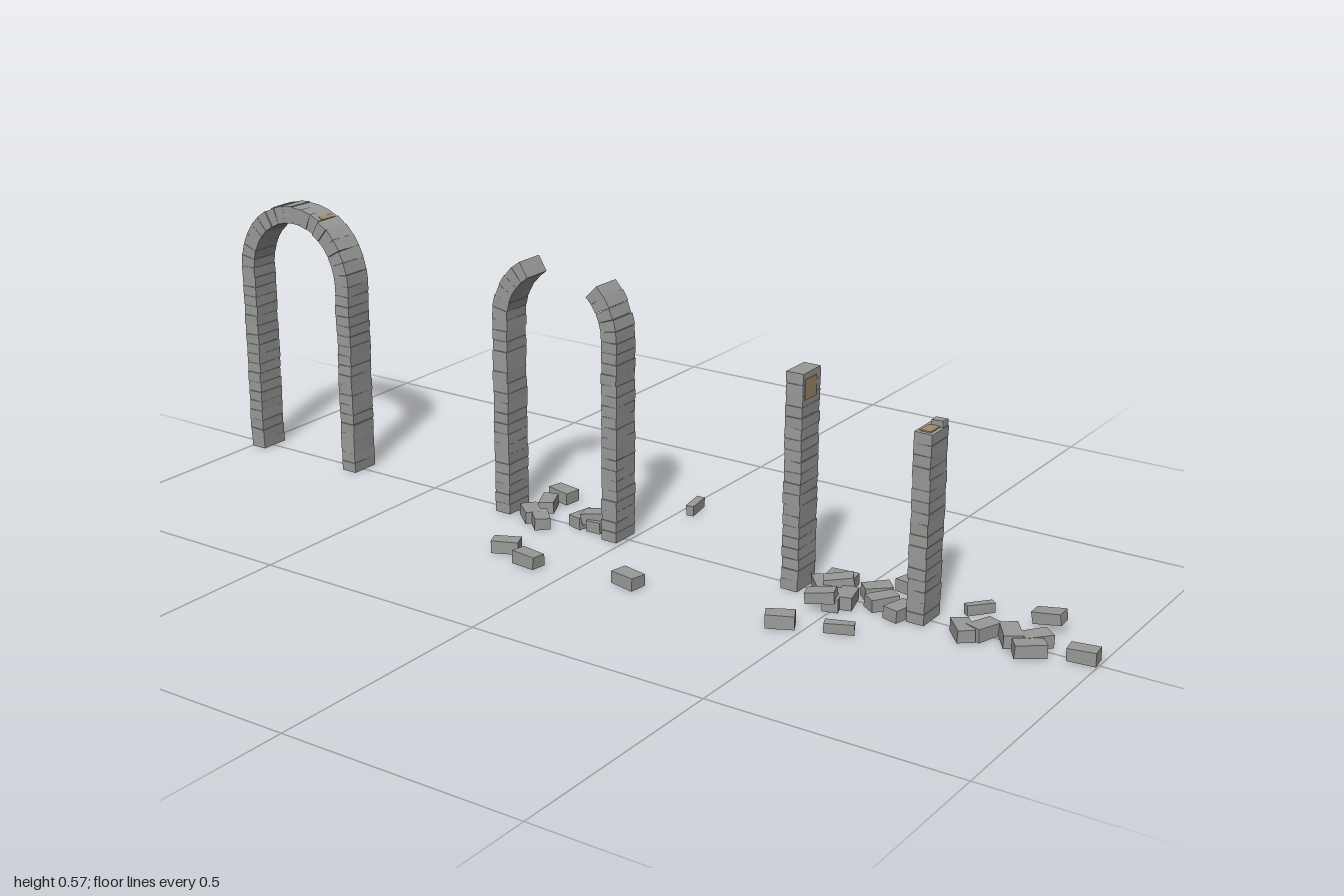
import * as THREE from 'three';
import { mergeGeometries } from 'three/addons/utils/BufferGeometryUtils.js';

const stone = new THREE.MeshStandardMaterial({ color: 0x989a98 });
stone.name = 'grey stone';
const mortar = new THREE.MeshStandardMaterial({ color: 0xa08c6c });
mortar.name = 'brown mortar';

let seed = 7;
const rand = () => ((seed = (seed * 16807) % 2147483647) / 2147483647);
const vary = (a) => (rand() * 2 - 1) * a;
const rad = THREE.MathUtils.degToRad;

const SPRING = 0.414, THICK = 0.036, DEPTH = 0.064, ZMID = -0.002, OUTER = 0.1515;
const SPAN = OUTER - THICK / 2;

// Unit box mapped by a rule, with its eight corners nudged
function block(amount, rule) {
  const g = new THREE.BoxGeometry(1, 1, 1);
  const nudge = Array.from({ length: 8 }, () => [vary(amount), vary(amount), vary(amount)]);
  const p = g.attributes.position;
  for (let i = 0; i < p.count; i++) {
    const x = p.getX(i), y = p.getY(i), z = p.getZ(i);
    const n = nudge[(x > 0 ? 1 : 0) + (y > 0 ? 2 : 0) + (z > 0 ? 4 : 0)];
    const q = rule(x, y, z);
    p.setXYZ(i, q[0] + n[0], q[1] + n[1], q[2] + n[2]);
  }
  g.computeVertexNormals();
  return g;
}

function part(name, geometries, material) {
  const mesh = new THREE.Mesh(mergeGeometries(geometries), material);
  mesh.name = name;
  return mesh;
}

function group(name, ...children) {
  const g = new THREE.Group();
  g.name = name;
  return g.add(...children);
}

const brick = (cx, cy, cz, w, h, d, amount = 0) =>
  block(amount, (x, y, z) => [cx + x * w, cy + y * h, cz + z * d]);

// Wedge between two radii and two angles in degrees
const wedge = (cx, r0, r1, a0, a1, depth, amount = 0) =>
  block(amount, (x, y, z) => {
    const a = rad(a0 + (a1 - a0) * (0.5 - x));
    const r = r0 + (r1 - r0) * (y + 0.5);
    return [cx + Math.cos(a) * r, SPRING + Math.sin(a) * r, ZMID + z * depth];
  });

// Stack of single-stone courses around a mortar core
function pillar(name, x, height) {
  const n = Math.round(height / 0.0215), h = height / n, courses = [];
  for (let i = 0; i < n; i++) {
    courses.push(brick(x + vary(0.0008), (i + 0.5) * h, ZMID + vary(0.001),
      THICK, h - 0.0006, DEPTH, i ? 0.0007 : 0));
  }
  const core = brick(x, height / 2, ZMID, THICK - 0.004, height - 0.006, DEPTH - 0.004);
  return group(name, part('courses', courses, stone), part('core', [core], mortar));
}

// Run of arch stones from one angle to another, slimmer near the crown
function archRun(name, cx, from, to) {
  const n = Math.round((to - from) / 10), step = (to - from) / n, stones = [];
  for (let i = 0; i < n; i++) {
    const a = from + i * step;
    const depth = Math.abs(a + step / 2 - 90) < 30 ? 0.058 : DEPTH;
    stones.push(wedge(cx, OUTER - THICK, OUTER + vary(0.001), a + 0.12, a + step - 0.12, depth, 0.0006));
  }
  return part(name, stones, stone);
}

// Fallen stones: x, z, turn in degrees
const LYING = [
  [-0.235, -0.1, -12], [-0.23, -0.04, -65], [-0.228, 0.022, -40], [-0.19, 0.04, -45],
  [-0.12, -0.015, 80], [-0.08, -0.012, -85], [-0.165, 0.185, 25], [-0.09, 0.213, -8],
  [0.125, 0.183, -12], [0.46, -0.045, 8], [0.445, 0.005, -50], [0.492, 0.048, -70],
  [0.455, 0.175, 28], [0.51, 0.025, -75], [0.54, -0.035, 45], [0.585, -0.092, -10],
  [0.57, 0, 55], [0.617, 0.02, 75], [0.75, 0.03, -50], [0.78, 0.005, 70],
  [0.83, 0, -55], [0.88, 0.03, 35], [0.875, -0.01, 50], [0.969, -0.002, 8],
];
const ON_EDGE = [[0.025, -0.203, -80], [0.56, 0.142, 25], [0.73, -0.08, 52]];
const PROPPED = [[-0.085, -0.01, 15], [0.48, 0.07, 18], [0.475, -0.005, 30], [0.865, -0.087, 3]];

function fallenStones(name, places, width, height, base, tilt) {
  return group(name, ...places.map(([x, z, turn]) => {
    const shape = brick(0, 0, 0, 0.056 + vary(0.002), height + vary(0.001), width + vary(0.002), 0.001);
    const mesh = part('fallenStone', [shape], stone);
    mesh.position.set(x, base + height / 2 + 0.001, z);
    mesh.rotation.set(0, rad(turn), rad(tilt));
    return mesh;
  }));
}

export function createModel() {
  // Whole arch, with mortar showing on the crown
  const wholeX = -0.8475;
  const patches = [[103, 109], [113, 117], [60, 64]].map(([a, b]) =>
    wedge(wholeX, OUTER - 0.002, OUTER + 0.0016, a, b, 0.036));
  const whole = group('wholeArch',
    pillar('rightPillar', wholeX - SPAN, SPRING),
    pillar('leftPillar', wholeX + SPAN, SPRING),
    archRun('arch', wholeX, 0, 180),
    part('mortarPatches', patches, mortar));

  // Arch with its crown fallen out
  const brokenX = -0.161;
  const broken = group('brokenArch',
    pillar('rightPillar', brokenX - SPAN, SPRING),
    pillar('leftPillar', brokenX + SPAN, SPRING),
    archRun('rightStub', brokenX, 122, 180),
    archRun('leftStub', brokenX, 0, 46));

  // Two bare pillars with mortar exposed near their tops
  const bare = group('barePillars',
    pillar('rightPillar', 0.388, 0.432),
    pillar('leftPillar', 0.653, 0.37),
    part('brokenTop', [brick(0.658, 0.375, -0.024, 0.024, 0.014, 0.02, 0.0008)], stone),
    part('mortarPatches', [
      brick(0.4055, 0.4, 0.0025, 0.004, 0.04, 0.041),
      brick(0.653, 0.37, 0.004, 0.022, 0.004, 0.036),
    ], mortar));

  // Scattered stones
  const rubble = group('rubble',
    fallenStones('lyingStones', LYING, 0.033, 0.025, 0, 0),
    fallenStones('stonesOnEdge', ON_EDGE, 0.017, 0.021, 0, 0),
    fallenStones('proppedStones', PROPPED, 0.033, 0.023, 0.015, 8));

  return group('ruinedArches', whole, broken, bare, rubble);
}
